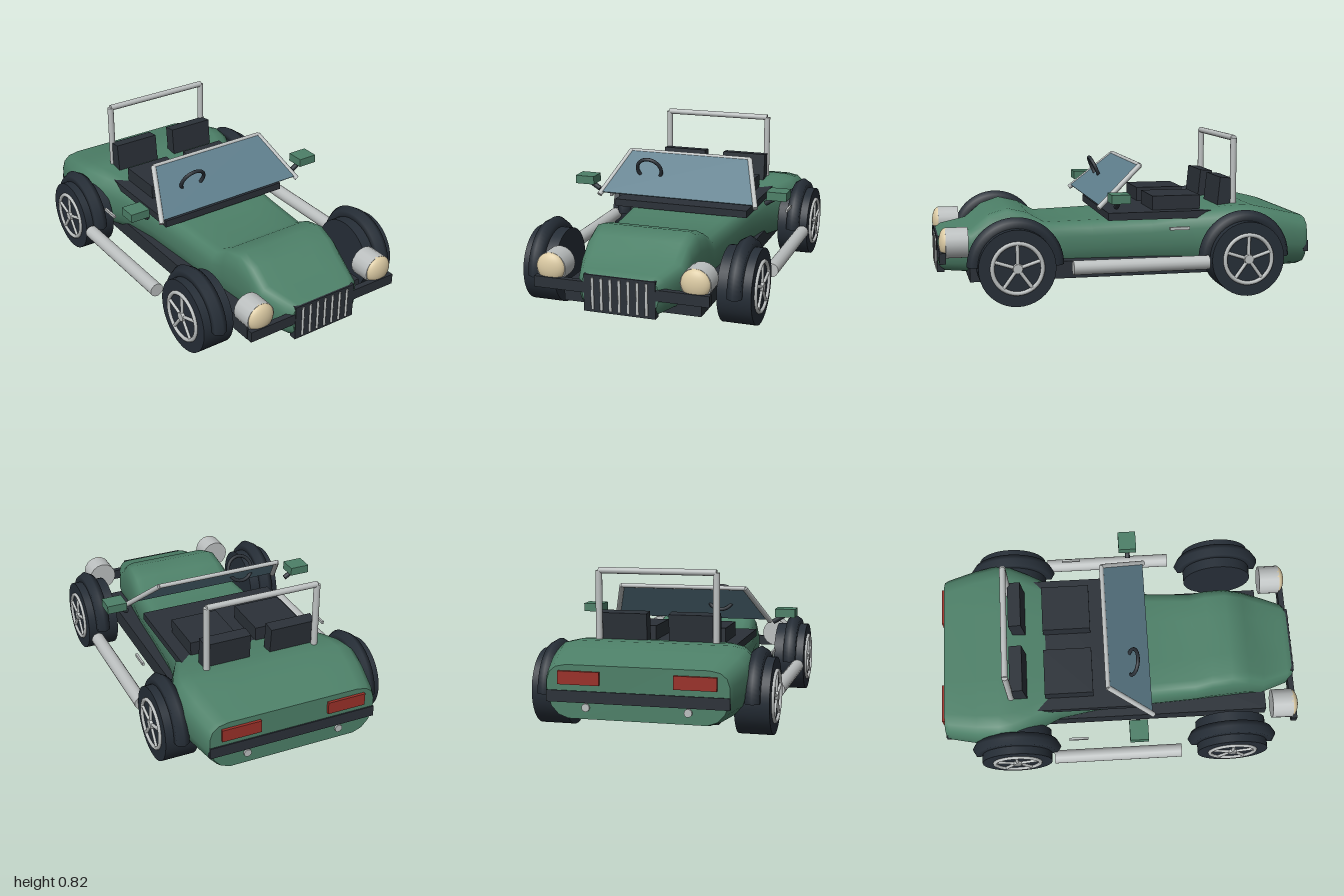
import * as THREE from 'three';

const paint = (name, hex) => {
  const m = new THREE.MeshStandardMaterial({ color: hex });
  m.name = name;
  return m;
};

export function createModel() {
  const car = new THREE.Group();
  car.name = 'openRoadster';
  const green = paint('bodyGreen', 0x4d8068);
  const dark = paint('darkTrim', 0x2b3138);
  const rubber = paint('tyreBlack', 0x262e37);
  const silver = paint('silver', 0xbcc0c0);
  const glass = paint('glassBlue', 0x5f7f8d);
  const cream = paint('lampCream', 0xdccba4);
  const red = paint('tailRed', 0x9a3028);

  const add = (name, geo, mat, x = 0, y = 0, z = 0, parent = car) => {
    const m = new THREE.Mesh(geo, mat);
    m.name = name;
    m.position.set(x, y, z);
    parent.add(m);
    return m;
  };
  // box given by its extents
  const box = (name, mat, x0, x1, y0, y1, z0, z1) =>
    add(name, new THREE.BoxGeometry(x1 - x0, y1 - y0, z1 - z0), mat, (x0 + x1) / 2, (y0 + y1) / 2, (z0 + z1) / 2);
  // straight round bar between two points
  const bar = (name, mat, a, b, r, parent = car) => {
    const p = new THREE.Vector3(...a), q = new THREE.Vector3(...b);
    const d = q.clone().sub(p);
    const m = add(name, new THREE.CylinderGeometry(r, r, d.length(), 16), mat, 0, 0, 0, parent);
    m.position.copy(p).add(q).multiplyScalar(0.5);
    m.quaternion.setFromUnitVectors(new THREE.Vector3(0, 1, 0), d.normalize());
    return m;
  };

  // Body shell: rounded sections lofted from nose to tail
  const stations = [ // z, half width, bottom, top
    [0.985, 0.2, 0.13, 0.3], [0.95, 0.23, 0.12, 0.32], [0.81, 0.28, 0.115, 0.345], [0.72, 0.285, 0.115, 0.42],
    [0.62, 0.295, 0.115, 0.452], [0.51, 0.3, 0.115, 0.425], [0.42, 0.305, 0.115, 0.372], [0.17, 0.32, 0.12, 0.378],
    [-0.15, 0.345, 0.125, 0.39], [-0.35, 0.385, 0.125, 0.42], [-0.5, 0.46, 0.12, 0.445], [-0.6, 0.505, 0.115, 0.456],
    [-0.68, 0.52, 0.115, 0.457], [-0.8, 0.505, 0.115, 0.43], [-0.96, 0.468, 0.115, 0.392], [-0.985, 0.455, 0.12, 0.385],
  ];
  const half = [[0.76, 0], [0.87, 0.07], [0.95, 0.22], [1, 0.45], [1, 0.7], [0.97, 0.86], [0.9, 0.96], [0.78, 1], [0.4, 1]];
  const outline = [...half, ...half.map(([x, y]) => [-x, y]).reverse()];
  const n = outline.length, pos = [], idx = [];
  const ring = ([z, w, b, t]) => outline.forEach(([x, y]) => pos.push(x * w, b + (t - b) * y, z));
  stations.forEach(ring);
  for (let i = 0; i < stations.length - 1; i++) {
    for (let j = 0; j < n; j++) {
      const a = i * n + j, b = i * n + (j + 1) % n;
      idx.push(a, a + n, b, a + n, b + n, b);
    }
  }
  const front = pos.length / 3;
  ring(stations[0]);
  const back = front + n;
  ring(stations[stations.length - 1]);
  for (let j = 1; j < n - 1; j++) idx.push(front, front + j, front + j + 1, back, back + j + 1, back + j);
  const shell = new THREE.BufferGeometry();
  shell.setAttribute('position', new THREE.Float32BufferAttribute(pos, 3));
  shell.setIndex(idx);
  shell.computeVertexNormals();
  add('bodyShell', shell, green);

  // Chassis, cockpit deck, bumpers
  box('chassis', dark, -0.367, 0.367, 0.088, 0.18, -0.82, 0.83);
  box('cockpitDeck', dark, -0.385, 0.385, 0.39, 0.43, -0.5, 0.1);
  box('frontBumper', dark, -0.457, 0.457, 0.205, 0.262, 0.955, 0.987);
  box('rearBumper', dark, -0.457, 0.457, 0.2, 0.258, -0.992, -0.965);

  // Grille with upright bars
  box('grille', dark, -0.187, 0.187, 0.112, 0.303, 0.95, 0.99);
  for (let i = -3; i <= 3; i++) bar('grilleBar', silver, [i * 0.047, 0.125, 0.99], [i * 0.047, 0.29, 0.99], 0.007);

  // Wheels with arched mudguards
  const wheel = (s, z) => {
    const g = new THREE.Group();
    g.name = 'wheel';
    g.position.set(s * 0.523, 0.2, z);
    g.rotation.y = s * Math.PI / 2; // local +z points outward
    car.add(g);
    add('tyre', new THREE.CylinderGeometry(0.196, 0.196, 0.175, 40).rotateX(Math.PI / 2), rubber, 0, 0, 0, g);
    add('rim', new THREE.TorusGeometry(0.127, 0.011, 8, 40), silver, 0, 0, 0.09, g);
    add('hub', new THREE.CylinderGeometry(0.024, 0.028, 0.02, 20).rotateX(Math.PI / 2), silver, 0, 0, 0.093, g);
    for (let k = 0; k < 5; k++) {
      const a = Math.PI / 2 + k * Math.PI * 0.4;
      bar('spoke', silver, [0, 0, 0.09], [Math.cos(a) * 0.127, Math.sin(a) * 0.127, 0.09], 0.009, g);
    }
    add('mudguard', new THREE.TorusGeometry(0.207, 0.041, 6, 32, Math.PI), rubber, 0, 0, 0.008, g).material.side = THREE.DoubleSide;
  };

  // Paired parts
  for (const s of [-1, 1]) {
    wheel(s, 0.61);
    wheel(s, -0.6);

    // Headlamp
    bar('headlampShell', silver, [s * 0.378, 0.302, 0.84], [s * 0.378, 0.302, 0.955], 0.08);
    add('headlampLens', new THREE.SphereGeometry(0.076, 28, 16), cream, s * 0.378, 0.305, 0.95).scale.z = 0.5;

    // Side exhaust, door handle
    bar('sideExhaust', silver, [s * 0.588, 0.188, 0.325], [s * 0.588, 0.188, -0.39], 0.037);
    add('doorHandle', new THREE.BoxGeometry(0.012, 0.016, 0.105), silver, s * 0.537, 0.363, -0.247);

    // Wing mirror on a stalk
    add('wingMirror', new THREE.BoxGeometry(0.11, 0.046, 0.1), green, s * 0.557, 0.533, 0.08);
    bar('mirrorStalk', dark, [s * 0.545, 0.515, 0.08], [s * 0.485, 0.478, 0.08], 0.014);

    // Seat
    add('seatCushion', new THREE.BoxGeometry(0.258, 0.085, 0.265), dark, s * 0.187, 0.463, -0.287);
    add('seatBack', new THREE.BoxGeometry(0.258, 0.175, 0.07), dark, s * 0.187, 0.508, -0.56).rotation.x = -0.1;

    // Roll bar post and windscreen pillar
    bar('rollBarPost', silver, [s * 0.308, 0.42, -0.608], [s * 0.308, 0.81, -0.608], 0.0175);
    bar('windscreenPillar', silver, [s * 0.452, 0.468, 0.168], [s * 0.35, 0.677, -0.075], 0.014);

    // Rear lamp and exhaust tip
    add('tailLamp', new THREE.BoxGeometry(0.21, 0.066, 0.03), red, s * 0.29, 0.322, -0.985);
    bar('exhaustTip', silver, [s * 0.255, 0.178, -0.96], [s * 0.255, 0.178, -0.996], 0.02);
  }
  bar('rollBarTop', silver, [-0.308, 0.81, -0.608], [0.308, 0.81, -0.608], 0.0165);
  bar('windscreenTop', silver, [-0.352, 0.677, -0.075], [0.352, 0.677, -0.075], 0.012);

  // Raked windscreen pane
  const pane = new THREE.Shape([[-0.445, 0], [0.445, 0], [0.35, 0.308], [-0.35, 0.308]].map(p => new THREE.Vector2(...p)));
  const screen = add('windscreenGlass', new THREE.ExtrudeGeometry(pane, { depth: 0.008, bevelEnabled: false }), glass, 0, 0.478, 0.157);
  screen.rotation.x = -Math.atan2(0.243, 0.209);

  // Steering wheel
  add('steeringWheel', new THREE.TorusGeometry(0.07, 0.01, 10, 36), dark, -0.19, 0.607, 0.066).rotation.x = 0.42;

  return car;
}
